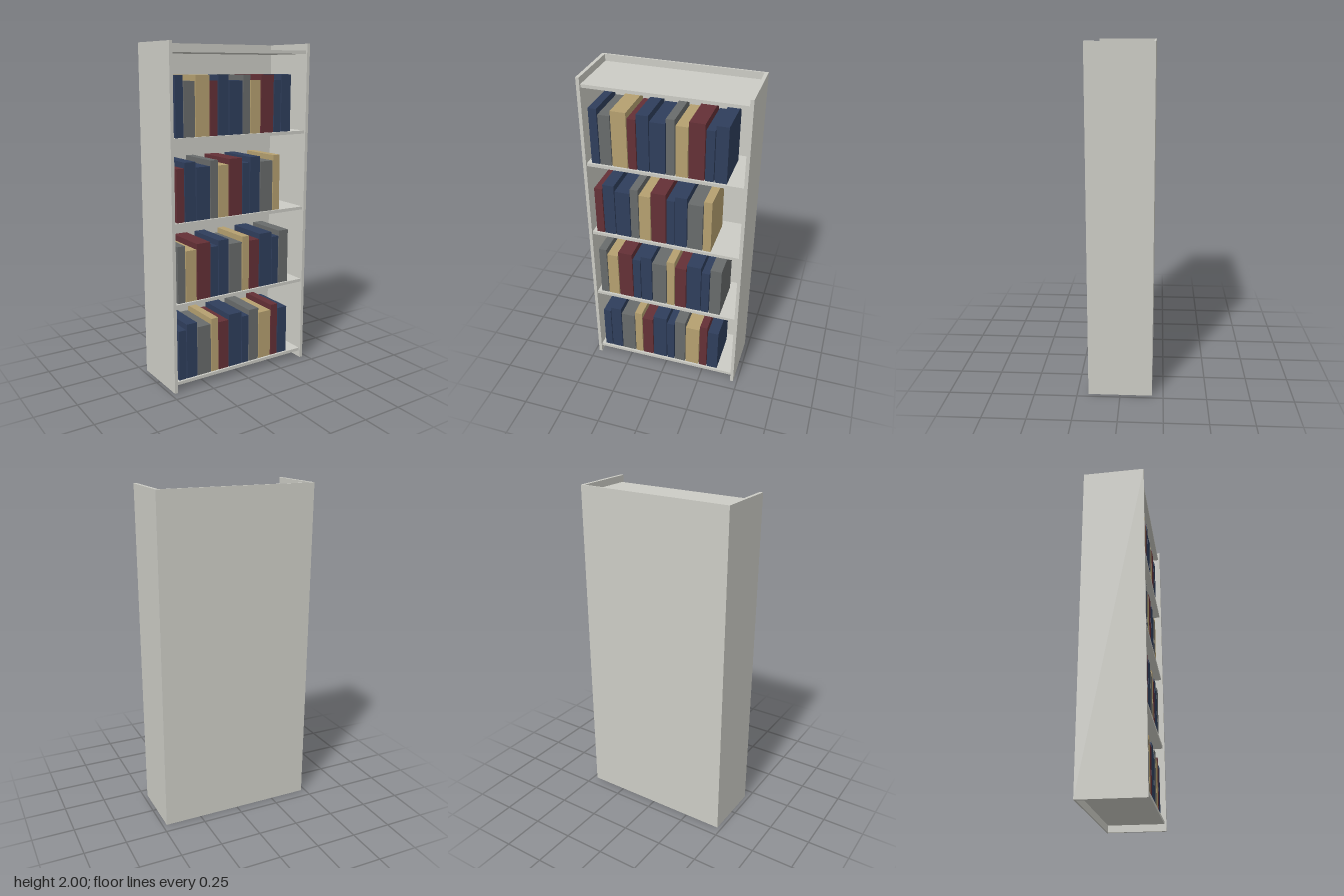
import * as THREE from 'three';

const mat = (color) => new THREE.MeshStandardMaterial({ color });

// Box given by its min and max corners
function box(name, min, max, material) {
  const size = max.map((v, i) => v - min[i]);
  const mesh = new THREE.Mesh(new THREE.BoxGeometry(...size), material);
  mesh.position.set(...max.map((v, i) => (v + min[i]) / 2));
  mesh.name = name;
  return mesh;
}

export function createModel() {
  const model = new THREE.Group();
  model.name = 'bookcase';
  const frame = mat(0xccccc5);
  const blue = mat(0x2f3e5c), grey = mat(0x686b6b), tan = mat(0xb5a070), red = mat(0x643036);

  const W = 0.475, D = 0.185, T = 0.02, H = 2;
  const inner = W - T, backFace = -D + 0.01;

  // Side panels and back panel
  model.add(
    box('leftSide', [inner, 0, -D], [W, H, D], frame),
    box('rightSide', [-W, 0, -D], [-inner, H, D], frame),
    box('backPanel', [-inner, 0, -D], [inner, H, backFace], frame)
  );

  // Five evenly spaced shelves
  const shelfY = (i) => 0.052 + i * 0.4745;
  const shelfHalf = 0.0095;
  for (let i = 0; i < 5; i++) {
    const y = shelfY(i);
    model.add(box('shelf', [-inner, y - shelfHalf, backFace], [inner, y + shelfHalf, 0.173], frame));
  }

  // Books: widths, heights and colours repeat along each row
  const widths = [0.048, 0.069, 0.089], gap = 0.005;
  const colors = [blue, blue, grey, tan, red];
  const counts = [11, 11, 10, 11];
  counts.forEach((count, row) => {
    const books = new THREE.Group();
    books.name = 'bookRow';
    const y = shelfY(row) + shelfHalf;
    let x = -0.43;
    for (let i = 0; i < count; i++) {
      const w = widths[i % 3];
      const h = (i + row) % 2 ? 0.337 : 0.305;
      books.add(box('book', [x, y, -0.12], [x + w, y + h, 0.16], colors[(i + 2 * row) % 5]));
      x += w + gap;
    }
    model.add(books);
  });

  return model;
}
